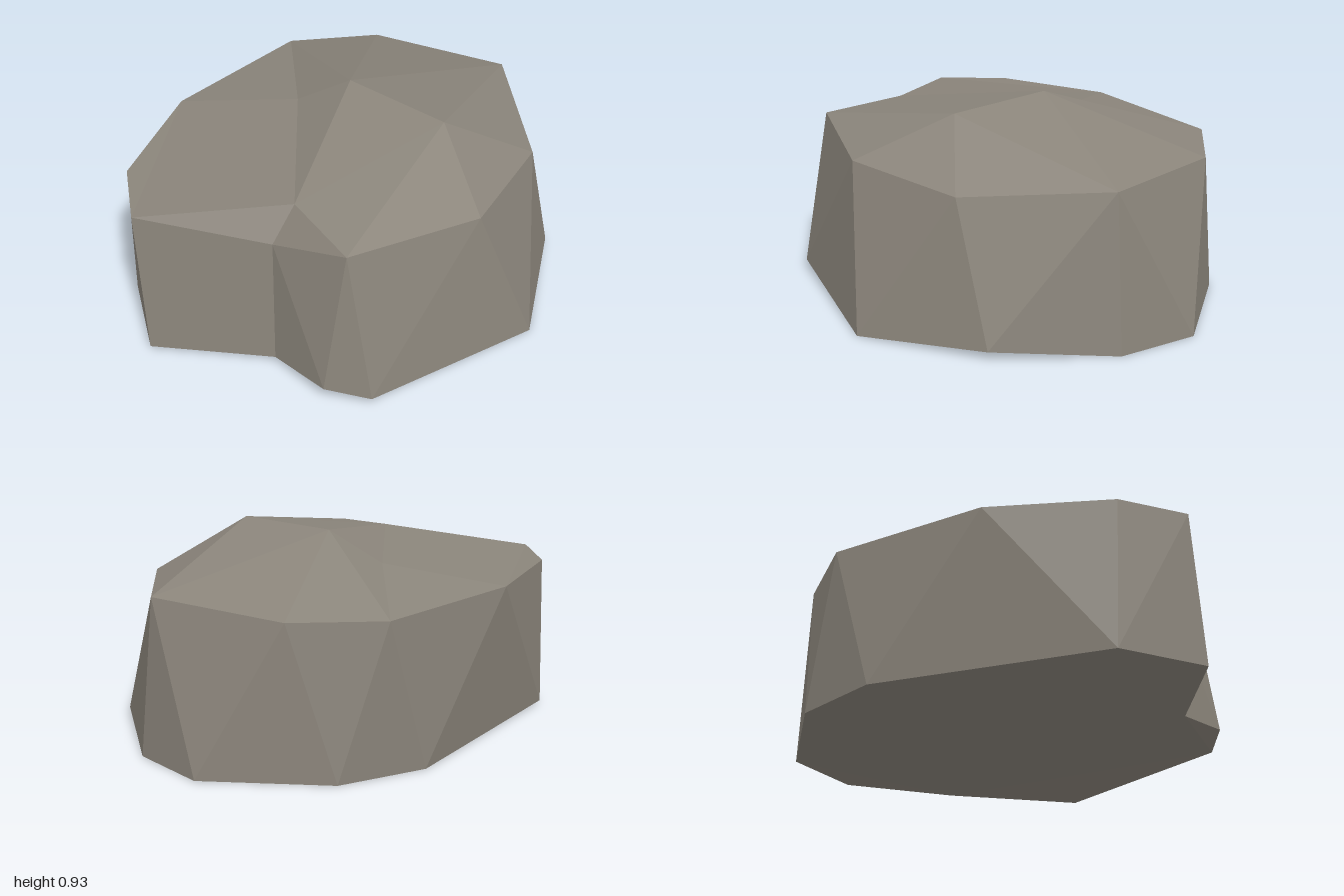
import * as THREE from 'three';

export function createModel() {
  const stone = new THREE.MeshStandardMaterial({ color: 0x8b857b });
  stone.name = 'warm grey stone';

  // Upper rim, counter-clockwise from above, starting at the front; the last point is the notch
  const rim = [
    [0.23, 0.76, 0.91], [0.69, 0.72, 0.45], [0.80, 0.68, -0.14], [0.52, 0.72, -0.76], [-0.15, 0.70, -0.88],
    [-0.55, 0.70, -0.70], [-0.87, 0.715, -0.02], [-0.90, 0.71, 0.56], [-0.75, 0.71, 0.86], [-0.14, 0.64, 0.78],
  ];
  // Crown points: notch top, two peaks, and a low shoulder
  const crown = [[-0.07, 0.80, 0.68], [0.43, 0.92, 0.08], [-0.06, 0.93, -0.11], [-0.31, 0.79, -0.09]];
  // Foot outline, in the same order as the rim
  const foot = [
    [0.36, 0.04, 0.97], [0.92, 0, 0.30], [0.87, 0.04, -0.33], [0.56, 0, -0.81], [0.22, 0, -1.0], [-0.37, 0, -0.84],
    [-0.66, 0, -0.52], [-0.92, 0.01, 0.54], [-0.70, 0.015, 0.91], [-0.13, 0.03, 0.83], [0.15, 0.07, 1.0],
  ];

  const group = new THREE.Group();
  group.name = 'rock';
  const addFaces = (name, triangles) => {
    const geometry = new THREE.BufferGeometry();
    geometry.setAttribute('position', new THREE.Float32BufferAttribute(triangles.flat(2), 3));
    geometry.computeVertexNormals(); // unshared corners give faceted normals
    const mesh = new THREE.Mesh(geometry, stone);
    mesh.name = name;
    group.add(mesh);
  };

  // Sides: walk around both outlines, stepping along the rim (T) or the foot (B)
  const sides = [];
  let t = 0, b = 0;
  for (const step of 'TBTBTBBTBTBTBTTBBTBTB') {
    const top = rim[t % rim.length], low = foot[b % foot.length];
    const next = step === 'T' ? rim[++t % rim.length] : foot[++b % foot.length];
    sides.push([top, low, next]);
  }
  addFaces('sides', sides);

  // Crown: facets joining the rim to the peaks
  const points = [...rim, ...crown];
  const P = 10, A = 11, B = 12, C = 13;
  addFaces('crown', [
    [0, 1, A], [1, 2, A], [2, 3, A], [3, B, A], [3, 4, B], [4, 5, B], [5, C, B], [5, 6, C],
    [6, P, C], [C, P, B], [B, P, A], [P, 0, A], [6, 8, P], [6, 7, 8], [8, 9, P], [9, 0, P],
  ].map((face) => face.map((i) => points[i])));

  // Underside: fill the foot outline, facing down
  const outline = foot.map(([x, , z]) => new THREE.Vector2(x, -z));
  const fill = THREE.ShapeUtils.triangulateShape(outline, []);
  addFaces('underside', fill.map(([i, j, k]) => [foot[i], foot[k], foot[j]]));

  return group;
}
